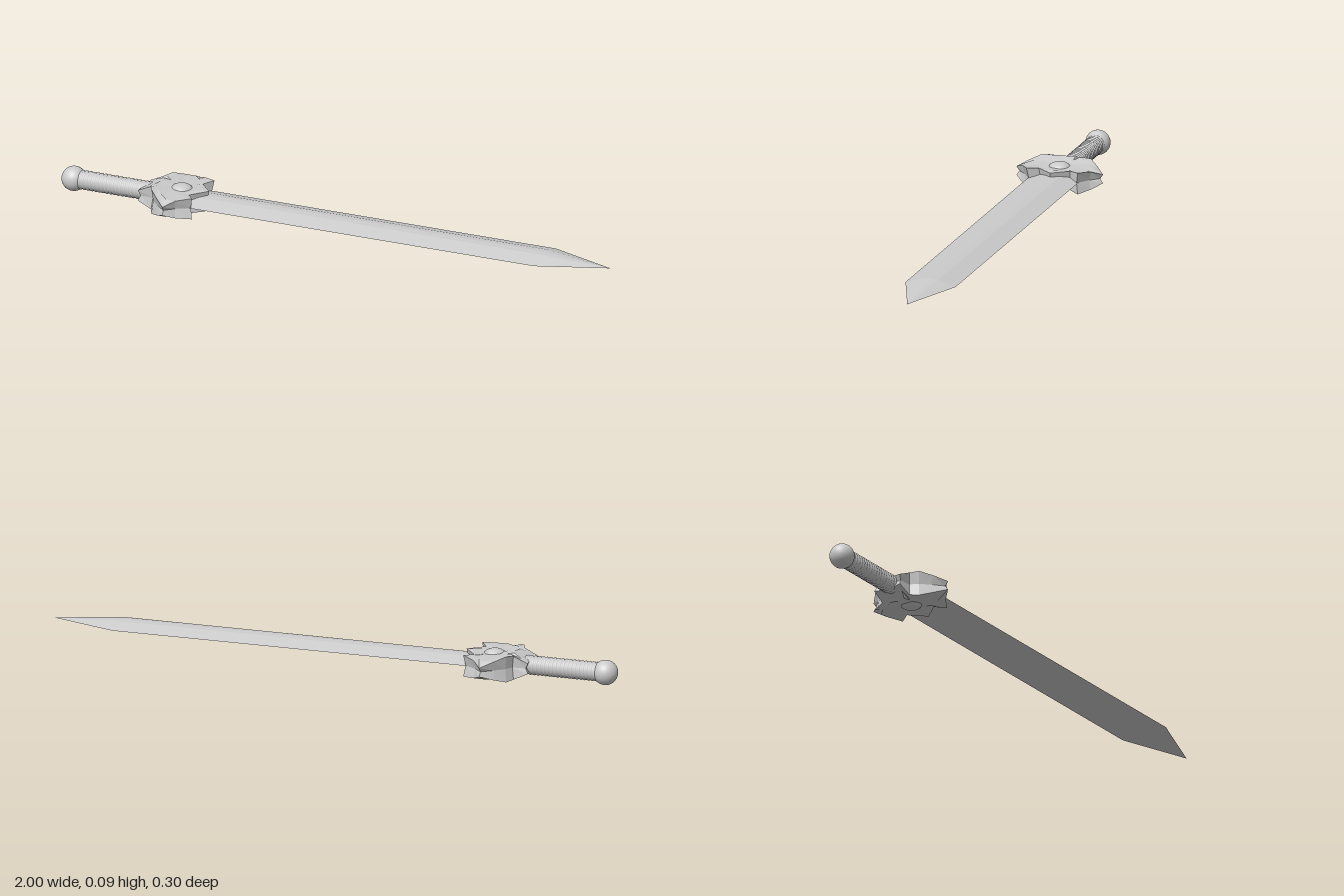
import * as THREE from 'three';

const CY = 0.048; // height of the sword's long axis
const flat = () => new THREE.MeshStandardMaterial({ color: 0xcccccc, flatShading: true, side: THREE.DoubleSide });
const smooth = () => new THREE.MeshStandardMaterial({ color: 0xcccccc });

// Skin a list of closed rings (equal point counts); single-point rings are repeated points
function loft(rings) {
  const n = rings[0].length, pos = rings.flat(2), idx = [];
  for (let r = 0; r < rings.length - 1; r++) {
    for (let i = 0; i < n; i++) {
      const a = r * n + i, b = r * n + (i + 1) % n;
      idx.push(a, b, a + n, b, b + n, a + n);
    }
  }
  const g = new THREE.BufferGeometry();
  g.setAttribute('position', new THREE.Float32BufferAttribute(pos, 3));
  g.setIndex(idx);
  g.computeVertexNormals();
  return g;
}

// Blade: ridged lens section, tapering to a point
function bladeGeometry() {
  const section = [[0, 0.02], [0.026, 0.018], [0.088, 0], [0.026, -0.018],
    [0, -0.02], [-0.026, -0.018], [-0.088, 0], [-0.026, 0.018]];
  const ring = (x, s) => section.map(([z, y]) => [x, y * s, z * s]);
  return loft([ring(-0.55, 0), ring(-0.55, 1), ring(0.76, 1), ring(1, 0)]);
}

// Guard: star outline whose thickness dips around the gem and thins at the spikes
function guardGeometry() {
  const cx = -0.575;
  const half = [[-0.465, 0], [-0.513, 0.055], [-0.487, 0.09], [-0.535, 0.12], [-0.567, 0.152],
    [-0.605, 0.118], [-0.637, 0.085], [-0.652, 0.055], [-0.702, 0.052], [-0.692, 0]];
  const outline = [...half, ...half.slice(1, -1).reverse().map(([x, z]) => [x, -z])];
  const keys = [[-0.71, 0.014], [-0.642, 0.045], [-0.595, 0.034], [-0.53, 0.03], [-0.487, 0.037], [-0.46, 0.034]];
  const thickness = (x, z) => {
    const k = Math.max(1, keys.findIndex(([kx]) => kx >= x));
    const [[x0, h0], [x1, h1]] = [keys[k - 1], keys[k]];
    const along = h0 + (h1 - h0) * (x - x0) / (x1 - x0);
    return Math.min(along, 0.015 + Math.max(0, 0.152 - Math.abs(z)) * 0.48);
  };
  const ring = (s, side) => outline.map(([ox, oz]) => {
    const x = cx + (ox - cx) * s, z = oz * s;
    return [x, side * thickness(x, z), z];
  });
  const steps = [0, 0.3, 0.55, 0.78, 1];
  return loft([
    ...steps.map(s => ring(s, 1)),
    ring(0.93, 0), // hollowed rim
    ...steps.slice().reverse().map(s => ring(s, -1)),
  ]);
}

// Grip: ridged wrap turned about the long axis
function gripGeometry() {
  const turns = 20, x0 = -0.935, x1 = -0.66, pts = [];
  for (let i = 0; i <= turns * 4; i++) {
    const t = i / (turns * 4);
    pts.push(new THREE.Vector2(0.029 + 0.004 * Math.abs(Math.sin(t * turns * Math.PI)), x0 + (x1 - x0) * t));
  }
  return new THREE.LatheGeometry(pts, 24).rotateZ(-Math.PI / 2);
}

export function createModel() {
  const sword = new THREE.Group();
  sword.name = 'sword';
  const add = (name, geometry, material, x = 0, y = CY) => {
    const mesh = new THREE.Mesh(geometry, material);
    mesh.name = name;
    mesh.position.set(x, y, 0);
    sword.add(mesh);
    return mesh;
  };

  add('blade', bladeGeometry(), flat());
  add('guard', guardGeometry(), flat());
  add('grip', gripGeometry(), smooth());
  add('pommel', new THREE.SphereGeometry(0.042, 32, 20), smooth(), -0.958);

  // Domed gem on each face of the guard
  for (const side of [1, -1]) {
    const gem = add(side > 0 ? 'upperGem' : 'lowerGem',
      new THREE.SphereGeometry(0.037, 28, 14), smooth(), -0.565, CY + side * 0.025);
    gem.scale.y = 0.55;
  }
  return sword;
}
